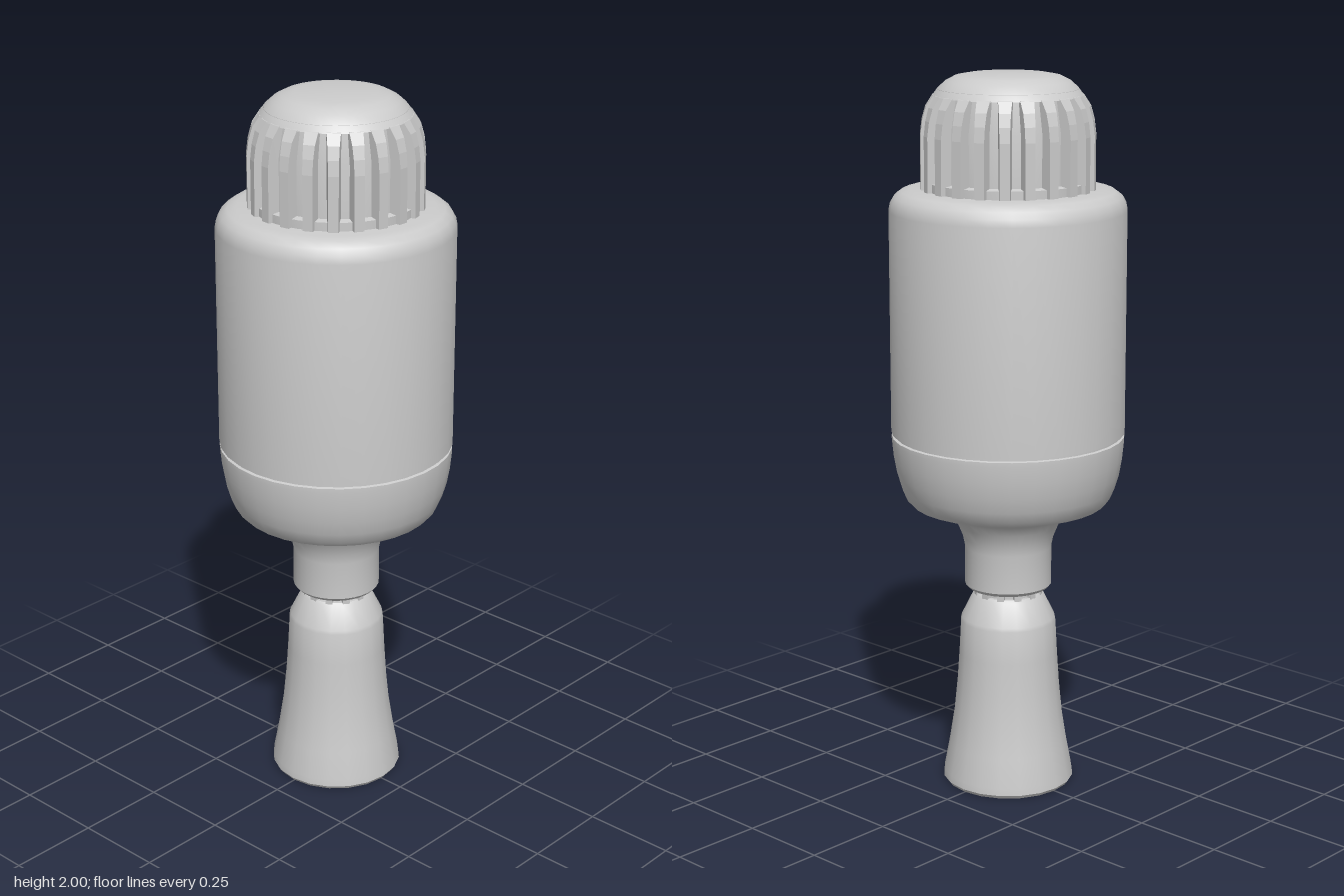
import * as THREE from 'three';
import { toCreasedNormals } from 'three/addons/utils/BufferGeometryUtils.js';

const material = new THREE.MeshStandardMaterial({ color: 0xcccccc });

export function createModel() {
  const model = new THREE.Group();

  const add = (name, geometry, parent = model) => {
    const mesh = new THREE.Mesh(geometry, material);
    mesh.name = name;
    parent.add(mesh);
    return mesh;
  };

  // Turned part from [radius, height] pairs, listed from bottom to top
  const turned = (name, profile, segments = 32) => {
    const points = profile.map(([r, y]) => new THREE.Vector2(r, y));
    return add(name, toCreasedNormals(new THREE.LatheGeometry(points, segments), 0.6));
  };

  // Repeats a part evenly around the vertical axis
  const ring = (name, geometry, count) => {
    const group = new THREE.Group();
    group.name = name + 'Ring';
    for (let i = 0; i < count; i++) {
      add(name, geometry, group).rotation.y = (i / count) * Math.PI * 2;
    }
    model.add(group);
  };

  // Flared handle with a bevelled top
  turned('handle', [
    [0, 0], [0.178, 0], [0.185, 0.01], [0.183, 0.03], [0.168, 0.11], [0.154, 0.2],
    [0.145, 0.29], [0.139, 0.38], [0.134, 0.475], [0.131, 0.485], [0.1, 0.548], [0.093, 0.555], [0, 0.555],
  ], 20);

  // Narrow joint with small teeth
  turned('joint', [[0.082, 0.54], [0.082, 0.59]], 24);
  ring('jointTooth', new THREE.BoxGeometry(0.025, 0.022, 0.02).translate(0.083, 0.562, 0), 12);

  // Neck flaring out under the body
  turned('neck', [
    [0, 0.572], [0.112, 0.572], [0.121, 0.582], [0.121, 0.69], [0.127, 0.72],
    [0.141, 0.755], [0.16, 0.783], [0.185, 0.803],
  ]);

  // Slightly conical underside plate pierced by small holes
  const plate = new THREE.Shape().absarc(0, 0, 0.27, 0, Math.PI * 2);
  plate.holes.push(new THREE.Path().absarc(0, 0, 0.15, 0, Math.PI * 2, true));
  for (let i = 0; i < 8; i++) {
    const a = (i / 8) * Math.PI * 2;
    plate.holes.push(new THREE.Path().absarc(0.215 * Math.cos(a), 0.215 * Math.sin(a), 0.016, 0, Math.PI * 2, true));
  }
  const underside = new THREE.ExtrudeGeometry(plate, { depth: 0.03, bevelEnabled: false, curveSegments: 16 });
  underside.rotateX(Math.PI / 2);
  const p = underside.attributes.position;
  for (let i = 0; i < p.count; i++) {
    const r = Math.hypot(p.getX(i), p.getZ(i));
    p.setY(i, p.getY(i) + 0.85 - (0.27 - r) * 0.25);
  }
  underside.computeVertexNormals();
  add('piercedUnderside', underside);

  // Lower bowl of the body
  turned('lowerBody', [
    [0, 0.845], [0.262, 0.845], [0.27, 0.82], [0.284, 0.835], [0.297, 0.865],
    [0.309, 0.905], [0.317, 0.95], [0.322, 1.0], [0.322, 1.012], [0.314, 1.014],
  ]);

  // Recessed seam, then the main cylinder with a rounded shoulder
  turned('bodySeam', [[0.314, 1.005], [0.314, 1.03]]);
  turned('upperBody', [
    [0.314, 1.02], [0.323, 1.022], [0.323, 1.635], [0.319, 1.655], [0.309, 1.673],
    [0.29, 1.687], [0.265, 1.692], [0, 1.692],
  ]);

  // Ribbed cap: recessed core, base collar, dome and ribs
  turned('capCore', [[0.206, 1.69], [0.206, 1.86], [0.19, 1.96]], 44);
  turned('capCollar', [[0.225, 1.685], [0.225, 1.715], [0.2, 1.72]], 44);
  turned('capDome', [
    [0.18, 1.942], [0.203, 1.942], [0.188, 1.962], [0.168, 1.98], [0.143, 1.993], [0.11, 1.999], [0, 2.0],
  ], 44);
  const rib = new THREE.Shape([
    [0.18, 1.69], [0.236, 1.69], [0.236, 1.84], [0.231, 1.88], [0.221, 1.915], [0.202, 1.944], [0.18, 1.955],
  ].map(([r, y]) => new THREE.Vector2(r, y)));
  const ribGeometry = new THREE.ExtrudeGeometry(rib, { depth: 0.034, bevelEnabled: false });
  ribGeometry.translate(0, 0, -0.017);
  // Taper each rib towards its outer edge
  const q = ribGeometry.attributes.position;
  for (let i = 0; i < q.count; i++) {
    q.setZ(i, q.getZ(i) * (1.25 - (q.getX(i) - 0.18) * 8));
  }
  ribGeometry.computeVertexNormals();
  ring('capRib', ribGeometry, 22);

  return model;
}
